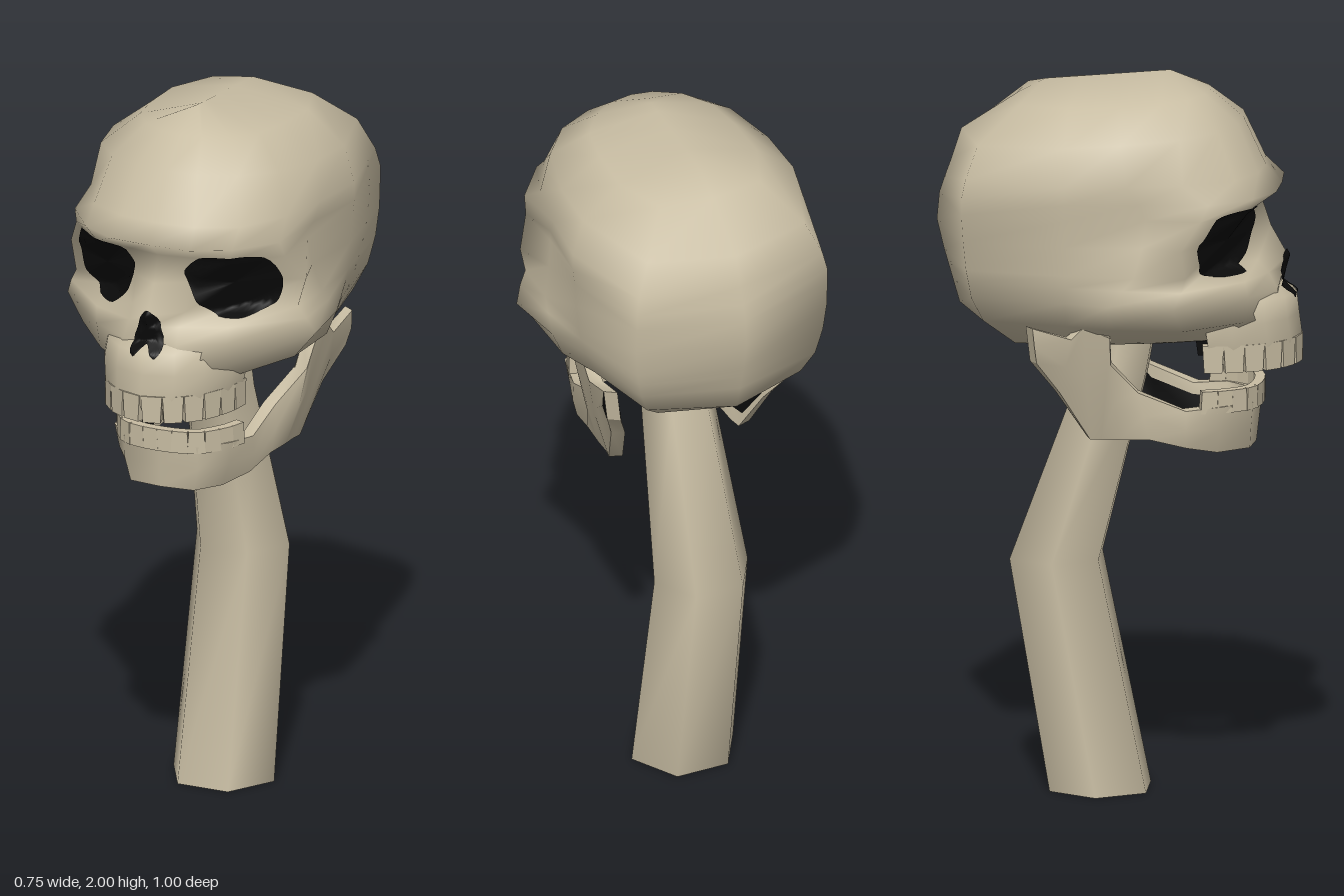
import * as THREE from 'three';
import { mergeGeometries, mergeVertices } from 'three/addons/utils/BufferGeometryUtils.js';

// Half outlines of the skull by height: y, slope of y along z, then x,z pairs from front to back
const CRANIUM = [
  [1.985, 0.09, 0, .14, 0, .14, 0, .12, 0, .08, 0, 0, 0, -.1, 0, -.2, 0, -.2],
  [1.935, 0.04, 0, .25, .06, .24, .13, .2, .18, .13, .2, .02, .205, -.12, .15, -.26, 0, -.28],
  [1.85, 0.06, 0, .34, .09, .332, .19, .285, .27, .19, .31, .03, .315, -.12, .235, -.365, 0, -.43],
  [1.74, 0, 0, .4, .11, .39, .22, .335, .295, .2, .325, .05, .345, -.12, .275, -.395, 0, -.457],
  [1.69, 0, 0, .445, .12, .44, .22, .385, .31, .27, .32, .08, .345, -.12, .285, -.405, 0, -.475],
];
const FACE = [
  [1.645, 0, 0, .39, .09, .375, .2, .36, .315, .25, .31, .1, .34, -.12, .285, -.405, 0, -.49],
  [1.57, 0, 0, .415, .08, .365, .19, .305, .355, .2, .32, .09, .335, -.12, .285, -.4, 0, -.497],
  [1.49, 0, 0, .46, .08, .385, .19, .265, .335, .21, .34, .07, .327, -.12, .277, -.393, 0, -.478],
  [1.455, 0, 0, .45, .075, .415, .2, .36, .355, .2, .345, .04, .32, -.12, .27, -.387, 0, -.468],
  [1.41, 0, 0, .44, .08, .44, .195, .37, .375, .18, .35, 0, .31, -.12, .26, -.38, 0, -.455],
  [1.34, 0, 0, .45, .1, .445, .19, .36, .32, .2, .32, 0, .28, -.12, .23, -.35, 0, -.435],
  [1.275, .04, 0, .4, .1, .37, .17, .3, .19, .18, .19, 0, .2, -.12, .16, -.27, 0, -.29],
];
// Jaw stations from chin to joint: lower x,z,y then upper x,z,y
const JAW = [
  [0, .375, .97, 0, .39, 1.1],
  [.095, .365, .97, .11, .375, 1.1],
  [.14, .28, .965, .175, .3, 1.1],
  [.185, .2, .985, .195, .2, 1.09],
  [.2, .1, 1.01, .2, .07, 1.14],
  [.205, .02, 1.01, .26, 0, 1.23],
  [.205, -.03, 1.01, .285, 0, 1.31],
  [.21, -.06, 1.01, .29, -.07, 1.34],
  [.24, -.14, 1.145, .29, -.105, 1.305],
  [.28, -.2, 1.235, .295, -.21, 1.335],
];
// Upper tooth arch, half plan as x,z
const ARCH = [[0, .5], [.08, .475], [.14, .42], [.18, .33], [.19, .26]];

// Surface through rows of [x,y,z] points; rows run downwards, points run towards +x at the front
function grid(rows, closed = false, flip = false) {
  const n = rows[0].length, index = [];
  for (let i = 0; i < rows.length - 1; i++) {
    for (let j = 0; j < (closed ? n : n - 1); j++) {
      const k = (j + 1) % n, a = i * n + j, b = i * n + k, c = a + n, d = b + n;
      index.push(...(flip ? [a, b, c, b, d, c] : [a, c, b, b, c, d]));
    }
  }
  const g = new THREE.BufferGeometry();
  g.setAttribute('position', new THREE.Float32BufferAttribute(rows.flat(2), 3));
  g.setIndex(index);
  const merged = mergeVertices(g);
  merged.computeVertexNormals();
  return merged;
}

const flipX = ([x, y, z]) => [-x, y, z];
// Half path starting at x = 0 made into a full path from -x to +x
const mirrored = (half) => [...half.slice(1).reverse().map(flipX), ...half];
// Path part way between two paths
const between = (p, q, t) => p.map((a, i) => a.map((v, k) => v + (q[i][k] - v) * t));

function skullRing([y, slope, ...p]) {
  const half = [];
  for (let i = 0; i < p.length; i += 2) half.push([p[i], y + slope * p[i + 1], p[i + 1]]);
  return [...half, ...half.slice(1, -1).reverse().map(flipX)];
}

// Tapered teeth spaced along one curve; dir is -1 for hanging, 1 for standing
function teeth(points, count, y, width, height, dir) {
  const curve = new THREE.CatmullRomCurve3(points.map((p) => new THREE.Vector3(...p)));
  const list = [];
  for (let i = 0; i < count; i++) {
    const u = (i + 0.5) / count, p = curve.getPointAt(u), t = curve.getTangentAt(u);
    const g = new THREE.BoxGeometry(width, height, 0.028);
    const pos = g.attributes.position;
    for (let v = 0; v < pos.count; v++) {
      if (pos.getY(v) * dir > 0) pos.setX(v, pos.getX(v) * 0.85);
    }
    g.rotateY(Math.atan2(-t.z, t.x));
    g.translate(p.x, y, p.z);
    list.push(g);
  }
  return mergeGeometries(list);
}

// Thin patch with a front outline, laid over the target meshes
function patch(outline, targets) {
  const curve = new THREE.CatmullRomCurve3(outline.map(([x, y]) => new THREE.Vector3(x, y, 0)), true, 'catmullrom', 0.3);
  const edge = curve.getPoints(40).slice(0, 40);
  const mid = edge.reduce((s, p) => s.add(p), new THREE.Vector3()).divideScalar(40);
  const ray = new THREE.Raycaster();
  const rows = [];
  for (let r = 0; r <= 12; r++) {
    rows.push(edge.map((p) => {
      const q = mid.clone().lerp(p, r / 12);
      ray.set(new THREE.Vector3(q.x, q.y, 2), new THREE.Vector3(0, 0, -1));
      return [q.x, q.y, ray.intersectObjects(targets)[0].point.z + 0.007];
    }));
  }
  return grid(rows, true);
}

export function createModel() {
  const group = new THREE.Group();
  const bone = new THREE.MeshStandardMaterial({ name: 'bone', color: 0xc8bda3, side: THREE.DoubleSide });
  const dark = new THREE.MeshStandardMaterial({ name: 'darkHollow', color: 0x0a0a0a, side: THREE.DoubleSide });
  const add = (name, geometry, material) => {
    const mesh = new THREE.Mesh(geometry, material);
    mesh.name = name;
    group.add(mesh);
    return mesh;
  };

  // Skull shell with a hollow under its front half
  const rings = [...CRANIUM, ...FACE].map(skullRing);
  const rim = rings.at(-1).map(([x, y, z]) => [x * 0.85, y - 0.01, Math.max(z * 0.85, -0.09)]);
  const skull = add('skull', grid([...rings, rim], true), bone);
  add('skullHollow', grid([rim, rim.map(() => [0, 1.26, 0.06])], true), dark);

  // Upper jaw wall, dark inside
  const archRow = (y, sx, dz) => mirrored(ARCH.map(([x, z]) => [x * sx, y, z + dz]));
  const upper = add('upperJaw', grid([
    archRow(1.43, 0.95, -0.08), archRow(1.39, 1.03, -0.015), archRow(1.33, 1.08, -0.008),
    archRow(1.27, 1.03, 0), archRow(1.235, 0.99, -0.005),
  ]), bone);
  add('upperJawInside', grid([archRow(1.36, 0.93, -0.045), archRow(1.24, 0.88, -0.03)], false, true), dark);
  add('upperTeeth', teeth(archRow(0, 0.96, -0.015), 12, 1.235, 0.058, 0.075, -1), bone);

  // Eye sockets and nose opening
  const eye = [[.075, 1.605], [.12, 1.65], [.2, 1.66], [.275, 1.65], [.305, 1.58], [.285, 1.505], [.22, 1.472], [.15, 1.475], [.105, 1.52]];
  const solid = [skull, upper];
  group.updateMatrixWorld(true);
  add('leftEyeSocket', patch([...eye].reverse(), solid), dark);
  add('rightEyeSocket', patch(eye.map(([x, y]) => [-x, y]), solid), dark);
  const nose = [[0, 1.505], [-.025, 1.48], [-.046, 1.4], [-.03, 1.377], [0, 1.41], [.03, 1.377], [.046, 1.4], [.025, 1.48]];
  add('noseOpening', patch(nose, solid), dark);

  // Lower jaw: outer wall, inner wall with a dark band, and the rims between them
  const low = mirrored(JAW.map(([x, z, y]) => [x, y, z]));
  const top = mirrored(JAW.map((s) => [s[3], s[5], s[4]]));
  const inset = (path) => path.map(([x, y, z], i) => {
    const a = low[Math.max(i - 1, 0)], b = low[Math.min(i + 1, low.length - 1)];
    const dx = b[0] - a[0], dz = b[2] - a[2], l = Math.hypot(dx, dz);
    return [x + (dz / l) * 0.038, y, z - (dx / l) * 0.038];
  });
  const lowIn = inset(low), topIn = inset(top);
  const bulge = between(low, top, 0.5).map(([x, y, z]) => [x + Math.sign(x) * 0.008, y, z]);
  const bandTop = between(topIn, lowIn, 0.3), bandLow = between(topIn, lowIn, 0.88);
  const end = (i) => grid([[topIn[i], top[i]], [lowIn[i], low[i]]], false, i === 0);
  add('lowerJaw', mergeGeometries([
    grid([top, bulge, low]), grid([topIn, top]), grid([low, lowIn]), end(0), end(low.length - 1),
    grid([topIn, bandTop], false, true), grid([bandLow, lowIn], false, true),
  ]), bone);
  add('lowerJawHollow', grid([bandTop, bandLow], false, true), dark);
  const lowerArch = mirrored([[0, 0, .383], [.1, 0, .363], [.152, 0, .3], [.175, 0, .24]]);
  add('lowerTeeth', teeth(lowerArch, 12, 1.112, 0.05, 0.062, 1), bone);

  // Bent six-sided neck post: y, centre x, centre z, radius
  const post = [[1.32, -.01, .02, .1], [1.15, -.01, -.015, .104], [.645, -.015, -.17, .14], [0, -.015, -.05, .152]];
  add('neckPost', grid(post.map(([y, cx, cz, r]) => Array.from({ length: 6 }, (_, i) => {
    const t = Math.PI / 6 + (i * Math.PI) / 3;
    return [cx + r * Math.sin(t), y, cz + r * Math.cos(t)];
  })), true), bone);
  add('neckPostBase', new THREE.CircleGeometry(0.152, 6).rotateX(Math.PI / 2).translate(-0.015, 0, -0.05), bone);

  return group;
}
